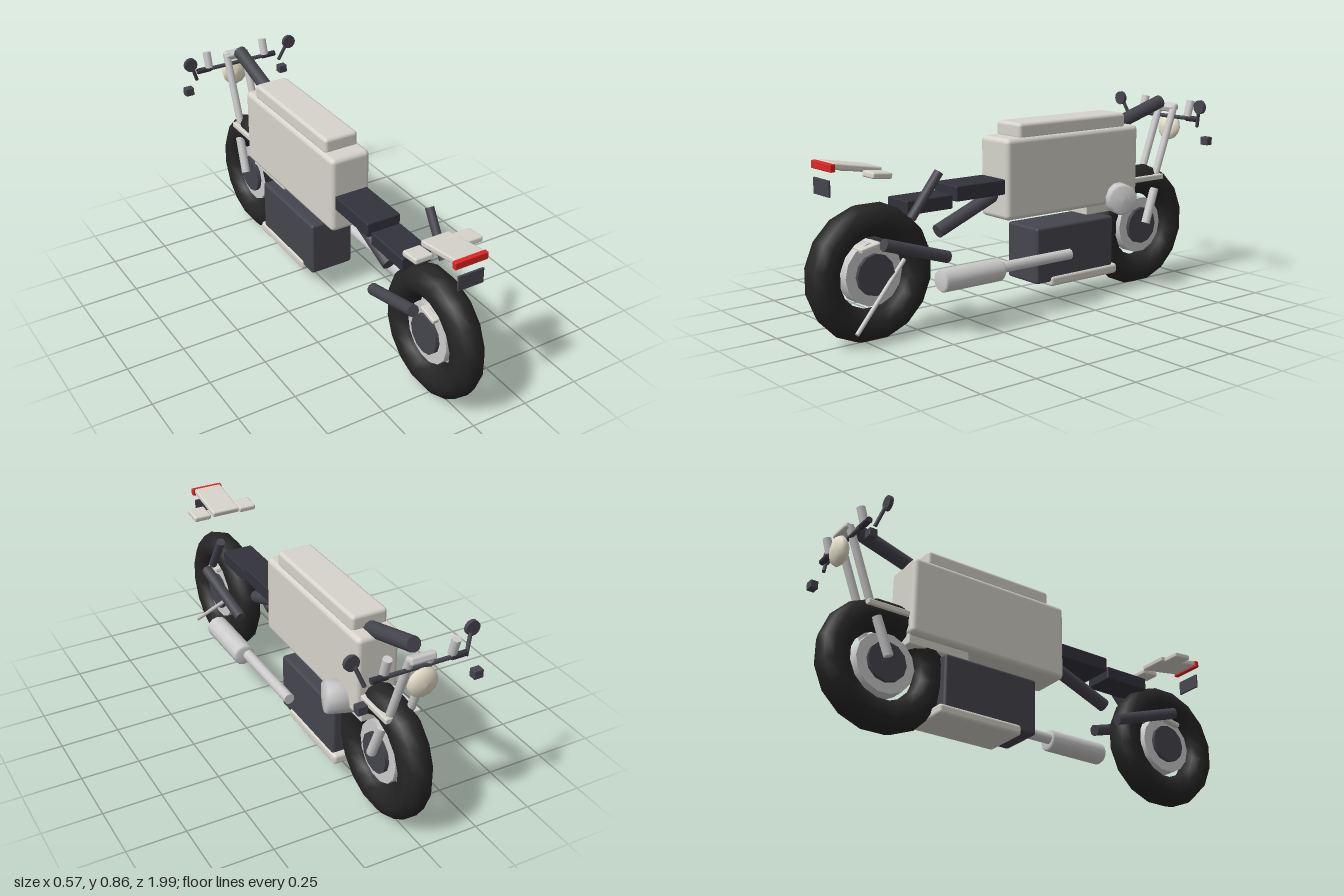
import * as THREE from 'three';
import { RoundedBoxGeometry } from 'three/addons/geometries/RoundedBoxGeometry.js';

const paint = (color) => new THREE.MeshStandardMaterial({ color });
const MAT = {
  shell: paint(0xd6d4cb), metal: paint(0xcccccc), dark: paint(0x45454d),
  seat: paint(0x32323b), rubber: paint(0x252525), red: paint(0xe02424), lamp: paint(0xe8e2cc),
};

export function createModel() {
  const model = new THREE.Group();
  model.name = 'motorcycle';

  const add = (name, geometry, mat, pos = [0, 0, 0]) => {
    const mesh = new THREE.Mesh(geometry, mat);
    mesh.name = name;
    mesh.position.set(...pos);
    model.add(mesh);
    return mesh;
  };
  // Box given by its size and centre, with softened edges
  const box = (name, mat, size, pos, radius = 0.006, tilt = 0) => {
    const mesh = add(name, new RoundedBoxGeometry(...size, 2, radius), mat, pos);
    mesh.rotation.x = tilt;
    return mesh;
  };
  // Round bar between two points
  const bar = (name, mat, from, to, r0, r1 = r0, sides = 10) => {
    const a = new THREE.Vector3(...from), b = new THREE.Vector3(...to);
    const dir = b.clone().sub(a);
    const mesh = add(name, new THREE.CylinderGeometry(r1, r0, dir.length(), sides), mat);
    mesh.position.copy(a).add(b).multiplyScalar(0.5);
    mesh.quaternion.setFromUnitVectors(new THREE.Vector3(0, 1, 0), dir.normalize());
    return mesh;
  };
  // Lathed solid whose profile runs along an axis from a starting point
  const turned = (name, mat, profile, from, axis, sides = 12) => {
    const points = profile.map(([r, h]) => new THREE.Vector2(r, h));
    const mesh = add(name, new THREE.LatheGeometry(points, sides), mat, from);
    mesh.quaternion.setFromUnitVectors(new THREE.Vector3(0, 1, 0), new THREE.Vector3(...axis).normalize());
    return mesh;
  };

  // Wheels: tyre, rim disc and hub
  for (const [end, z] of [['rear', 0.72], ['front', -0.72]]) {
    const tyre = new THREE.TorusGeometry(0.212, 0.068, 10, 16);
    tyre.rotateZ(Math.PI / 16).rotateY(Math.PI / 2);
    add(end + 'Tyre', tyre, MAT.rubber, [0, 0.277, z]);
    bar(end + 'RimDisc', MAT.metal, [-0.035, 0.277, z], [0.035, 0.277, z], 0.128, 0.128, 14);
    bar(end + 'Hub', MAT.dark, [-0.052, 0.277, z], [0.052, 0.277, z], 0.084, 0.084, 12);
  }
  box('rearCaliper', MAT.shell, [0.12, 0.02, 0.09], [0, 0.388, 0.745], 0.006, 0.2);

  // Main body and the raised cover on top
  box('mainBody', MAT.shell, [0.184, 0.343, 0.75], [0, 0.582, -0.27], 0.022);
  box('topCover', MAT.shell, [0.156, 0.07, 0.606], [0, 0.777, -0.273], 0.016);
  box('bodyUnderPlate', MAT.shell, [0.13, 0.05, 0.28], [0, 0.398, -0.5]);

  // Engine and skid plate
  box('engine', MAT.dark, [0.2, 0.245, 0.44], [0, 0.238, -0.27], 0.012);
  box('skidPlate', MAT.shell, [0.214, 0.046, 0.39], [0, 0.118, -0.32], 0.015);

  // Seats
  box('frontSeat', MAT.seat, [0.156, 0.064, 0.25], [0, 0.555, 0.228]);
  box('rearSeat', MAT.seat, [0.138, 0.058, 0.22], [0, 0.525, 0.475]);

  // Rear frame, swingarm, shock and stand
  bar('shock', MAT.dark, [0, 0.395, 0.395], [0, 0.53, 0.06], 0.029);
  bar('sideStrut', MAT.dark, [0.117, 0.495, 0.6], [0.129, 0.665, 0.475], 0.019);
  for (const s of [-1, 1])
    bar('swingarm', MAT.dark, [s * 0.078, 0.305, 0.4], [s * 0.1, 0.405, 0.715], 0.025);
  bar('sideStand', MAT.metal, [0.035, 0.315, 0.58], [0.102, 0.072, 0.845], 0.009);

  // Tail with lamp, plate and rear indicators
  box('tail', MAT.shell, [0.13, 0.026, 0.215], [0, 0.705, 0.798], 0.008, -0.17);
  box('tailLamp', MAT.red, [0.146, 0.031, 0.022], [0, 0.717, 0.91], 0.004);
  box('numberPlate', MAT.dark, [0.114, 0.064, 0.009], [0, 0.638, 0.918], 0.002);
  for (const s of [-1, 1])
    box('rearIndicator', MAT.shell, [0.08, 0.025, 0.088], [s * 0.112, 0.682, 0.744], 0.008, -0.1);

  // Exhaust
  bar('exhaustPipe', MAT.metal, [0.142, 0.238, -0.195], [0.142, 0.238, 0.22], 0.024);
  turned('muffler', MAT.metal, [[0, 0], [0.04, 0], [0.048, 0.01], [0.048, 0.29], [0.04, 0.3], [0, 0.3]],
    [0.157, 0.237, 0.195], [0, 0, 1]);

  // Air intake canister on the left side
  turned('airCanister', MAT.metal, [[0, 0], [0.07, 0], [0.07, 0.105], [0.06, 0.118], [0, 0.122]],
    [0.043, 0.437, -0.541], [0.94, 0, 0.34]);

  // Front fork and fender
  for (const s of [-1, 1]) {
    bar('lowerFork', MAT.metal, [s * 0.068, 0.29, -0.727], [s * 0.062, 0.445, -0.785], 0.02);
    bar('upperFork', MAT.metal, [s * 0.045, 0.5, -0.805], [s * 0.045, 0.815, -0.92], 0.017);
  }
  box('frontFender', MAT.shell, [0.152, 0.025, 0.185], [0, 0.497, -0.738]);
  box('topClamp', MAT.metal, [0.11, 0.032, 0.045], [0, 0.806, -0.92], 0.01, 0.35);

  // Spine tube and headlamp
  bar('spineTube', MAT.dark, [0, 0.745, -0.575], [0, 0.834, -0.87], 0.031);
  turned('headlamp', MAT.lamp, [[0, 0], [0.045, 0.005], [0.064, 0.025], [0.058, 0.042], [0.03, 0.054], [0, 0.057]],
    [0, 0.717, -0.908], [0, -0.1, -1]);

  // Handlebar with grips, reservoirs, mirrors and front indicators
  bar('handlebar', MAT.dark, [-0.2, 0.766, -0.913], [0.2, 0.766, -0.913], 0.009);
  for (const s of [-1, 1]) {
    bar('grip', MAT.seat, [s * 0.135, 0.766, -0.913], [s * 0.2, 0.766, -0.913], 0.013);
    bar('reservoir', MAT.metal, [s * 0.143, 0.775, -0.905], [s * 0.143, 0.846, -0.925], 0.018);
    bar('mirrorStem', MAT.dark, [s * 0.213, 0.737, -0.895], [s * 0.242, 0.815, -0.872], 0.008);
    bar('mirror', MAT.dark, [s * 0.252, 0.83, -0.874], [s * 0.252, 0.83, -0.858], 0.031, 0.031, 12);
    box('frontIndicator', MAT.dark, [0.04, 0.036, 0.034], [s * 0.244, 0.673, -0.925], 0.003);
  }
  return model;
}
